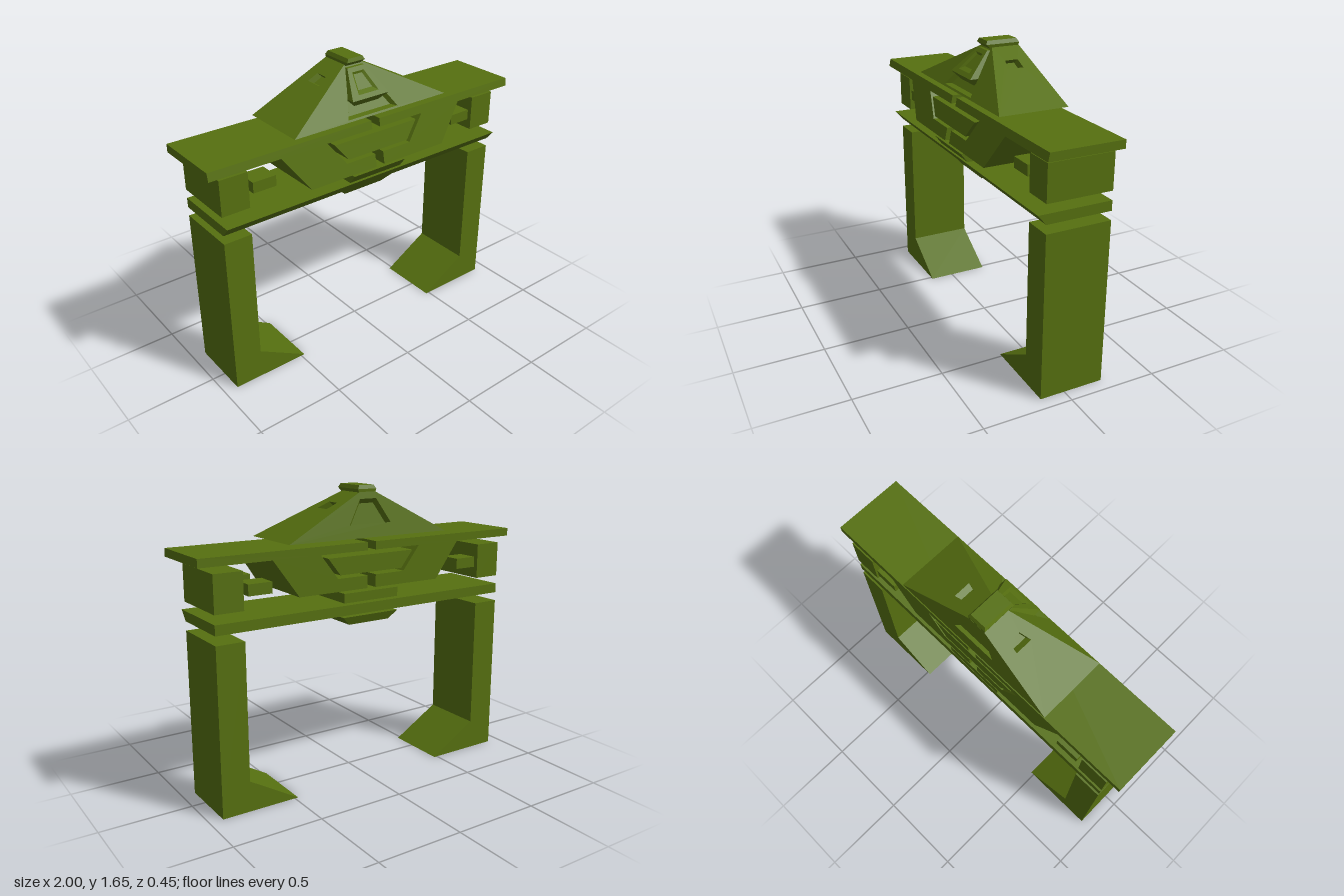
import * as THREE from 'three';
import { mergeGeometries } from 'three/addons/utils/BufferGeometryUtils.js';

const material = new THREE.MeshStandardMaterial({ color: 0x567010, flatShading: true, side: THREE.DoubleSide });
const BACK = -0.225;
const points = (list) => list.map(([x, y]) => new THREE.Vector2(x, y));

// Four-cornered slab (corners anticlockwise from outside), thickened towards a centre, with optional cut-out
function slab([a, b, c, d], centre, k, hole) {
  const shape = new THREE.Shape(points([[0, 0], [1, 0], [1, 1], [0, 1]]));
  if (hole) shape.holes.push(new THREE.Path(points(hole)));
  const geometry = new THREE.ExtrudeGeometry(shape, { depth: 1, bevelEnabled: false });
  const p = geometry.attributes.position;
  for (let i = 0; i < p.count; i++) {
    const low = a.clone().lerp(b, p.getX(i));
    const high = d.clone().lerp(c, p.getX(i));
    low.lerp(high, p.getY(i)).lerp(centre, (1 - p.getZ(i)) * k);
    p.setXYZ(i, low.x, low.y, low.z);
  }
  geometry.computeVertexNormals();
  return geometry;
}

// Block tapering between two levels, each [half width, front z, back z, y]; cut-outs are shallow recesses
function frustum(bottom, top, holes = {}, centre = null, k = 0.15) {
  const ring = ([x, f, b, y]) => [[x, f], [x, b], [-x, b], [-x, f]].map(([px, pz]) => new THREE.Vector3(px, y, pz));
  const lo = ring(bottom), hi = ring(top);
  const mid = centre || [...lo, ...hi].reduce((s, v) => s.add(v), new THREE.Vector3()).divideScalar(8);
  const names = ['right', 'back', 'left', 'front'];
  const build = (l, h, cut) => [
    ...names.map((n, i) => {
      const j = (i + 1) % 4;
      return slab([l[i], l[j], h[j], h[i]], mid, k, cut[n]);
    }),
    slab([h[3], h[0], h[1], h[2]], mid, k),
    slab([l[0], l[3], l[2], l[1]], mid, k),
  ];
  const parts = build(lo, hi, holes);
  if (Object.keys(holes).length) {
    const shrink = (r) => r.map((v) => v.clone().lerp(mid, k));
    parts.push(...build(shrink(lo), shrink(hi), {}));
  }
  return mergeGeometries(parts);
}

// Front outline pushed through in z, with an optional leaning front face
function profile(outline, front, lean = 0) {
  const geometry = new THREE.ExtrudeGeometry(new THREE.Shape(points(outline)), { depth: front - BACK, bevelEnabled: false });
  geometry.translate(0, 0, BACK);
  const p = geometry.attributes.position;
  for (let i = 0; i < p.count; i++) {
    if (p.getZ(i) > 0) p.setZ(i, front + (1.36 - p.getY(i)) * lean);
  }
  geometry.computeVertexNormals();
  return geometry;
}

export function createModel() {
  const model = new THREE.Group();
  const add = (name, geometry, parent = model) => {
    const mesh = new THREE.Mesh(geometry, material);
    mesh.name = name;
    parent.add(mesh);
    return mesh;
  };
  const box = (name, x0, x1, y0, y1, z0, z1, parent) =>
    add(name, new THREE.BoxGeometry(x1 - x0, y1 - y0, z1 - z0), parent)
      .position.set((x0 + x1) / 2, (y0 + y1) / 2, (z0 + z1) / 2);

  for (const [sideName, s] of [['left', 1], ['right', -1]]) {
    const half = new THREE.Group();
    half.name = sideName + 'Half';
    model.add(half);
    const mirrored = (list) => list.map(([x, y]) => [x * s, y]);

    // Pillar with its wedge foot
    add('pillar', profile(mirrored([[0.925, 0], [0.925, 0.925], [0.765, 0.925], [0.765, 0.17], [0.48, 0]]), 0.14), half);

    // Lintel half: top plate running into the angled bracket around the slot
    add('lintel', profile(mirrored([
      [0.027, 1.36], [1, 1.36], [1, 1.315], [0.6, 1.315], [0.45, 1.11], [0.027, 1.11],
      [0.027, 1.18], [0.215, 1.18], [0.32, 1.315], [0.027, 1.315],
    ]), 0.178, 0.2), half);

    // End block and the short stubs at front and back
    const span = (x0, x1) => (s > 0 ? [x0, x1] : [-x1, -x0]);
    box('endBlock', ...span(0.765, 0.925), 1.08, 1.28, BACK, 0.142, half);
    box('frontStub', ...span(0.605, 0.74), 1.15, 1.21, 0.02, 0.14, half);
    box('backStub', ...span(0.605, 0.74), 1.15, 1.21, BACK, -0.105, half);
  }

  // Centre plaque, spacer, cross beam and hanging keystone
  add('centrePlaque', profile([[-0.275, 1.293], [-0.2, 1.198], [0.2, 1.198], [0.275, 1.293]], 0.178, 0.2));
  add('spacer', frustum([0.175, 0.187, BACK, 1.043], [0.175, 0.226, BACK, 1.095]));
  add('crossBeam', frustum([0.925, 0.14, BACK, 0.975], [0.925, 0.186, BACK, 1.03]));
  add('keystone', frustum([0.13, 0.08, -0.2, 0.915], [0.18, 0.12, -0.222, 0.963]));

  // Roof with recessed openings on every slope
  const sideWindow = [[0.3, 0.64], [0.7, 0.64], [0.67, 0.77], [0.33, 0.77]];
  add('roof', frustum([0.505, 0.17, BACK, 1.383], [0.05, -0.02, -0.18, 1.62], {
    front: [[0.33, 0.04], [0.67, 0.04], [0.8, 0.93], [0.2, 0.93]],
    back: [[0.32, 0.3], [0.68, 0.3], [0.72, 0.85], [0.28, 0.85]],
    left: sideWindow,
    right: sideWindow,
  }, new THREE.Vector3(0, 1.42, -0.06)));

  // Projecting bay window and its undercut sill
  add('bayWindow', frustum([0.12, 0.142, 0, 1.475], [0.055, 0.01, -0.06, 1.605], {
    front: [[0.2, 0.15], [0.8, 0.15], [0.8, 0.85], [0.2, 0.85]],
  }, null, 0.3));
  add('baySill', frustum([0.08, 0.1, 0, 1.43], [0.12, 0.142, 0, 1.475]));

  // Roof cap
  add('capLower', frustum([0.05, -0.02, -0.178, 1.605], [0.058, 0.015, -0.18, 1.635]));
  add('capUpper', frustum([0.058, 0.015, -0.18, 1.635], [0.047, 0.008, -0.17, 1.655]));

  return model;
}
